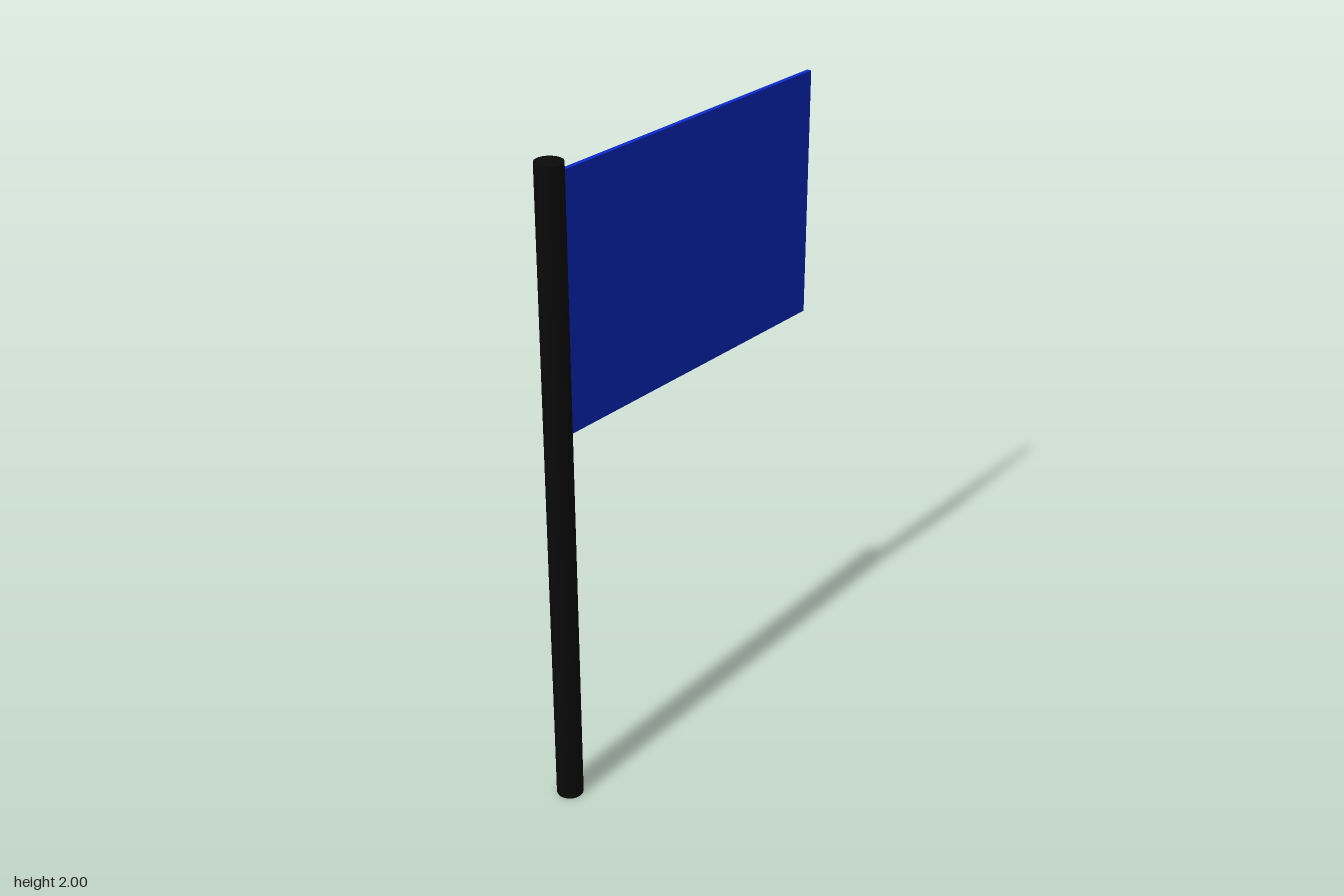
import * as THREE from 'three';

export function createModel() {
  const group = new THREE.Group();

  const addPart = (name, geometry, color, x, y) => {
    const mesh = new THREE.Mesh(geometry, new THREE.MeshStandardMaterial({ color }));
    mesh.name = name;
    mesh.position.set(x, y, 0);
    group.add(mesh);
  };

  const poleX = -0.523, poleRadius = 0.04, poleHeight = 2;
  const flagRight = 0.563, flagBottom = 1.2, flagTop = 1.965;
  const flagLeft = poleX + poleRadius - 0.005; // hoist edge sunk slightly into the pole

  // Upright round pole
  addPart('pole',
    new THREE.CylinderGeometry(poleRadius, poleRadius, poleHeight, 32),
    0x0a0a0a, poleX, poleHeight / 2);

  // Thin rigid flag panel
  addPart('flag',
    new THREE.BoxGeometry(flagRight - flagLeft, flagTop - flagBottom, 0.014),
    0x0c2bcc, (flagLeft + flagRight) / 2, (flagBottom + flagTop) / 2);

  return group;
}
